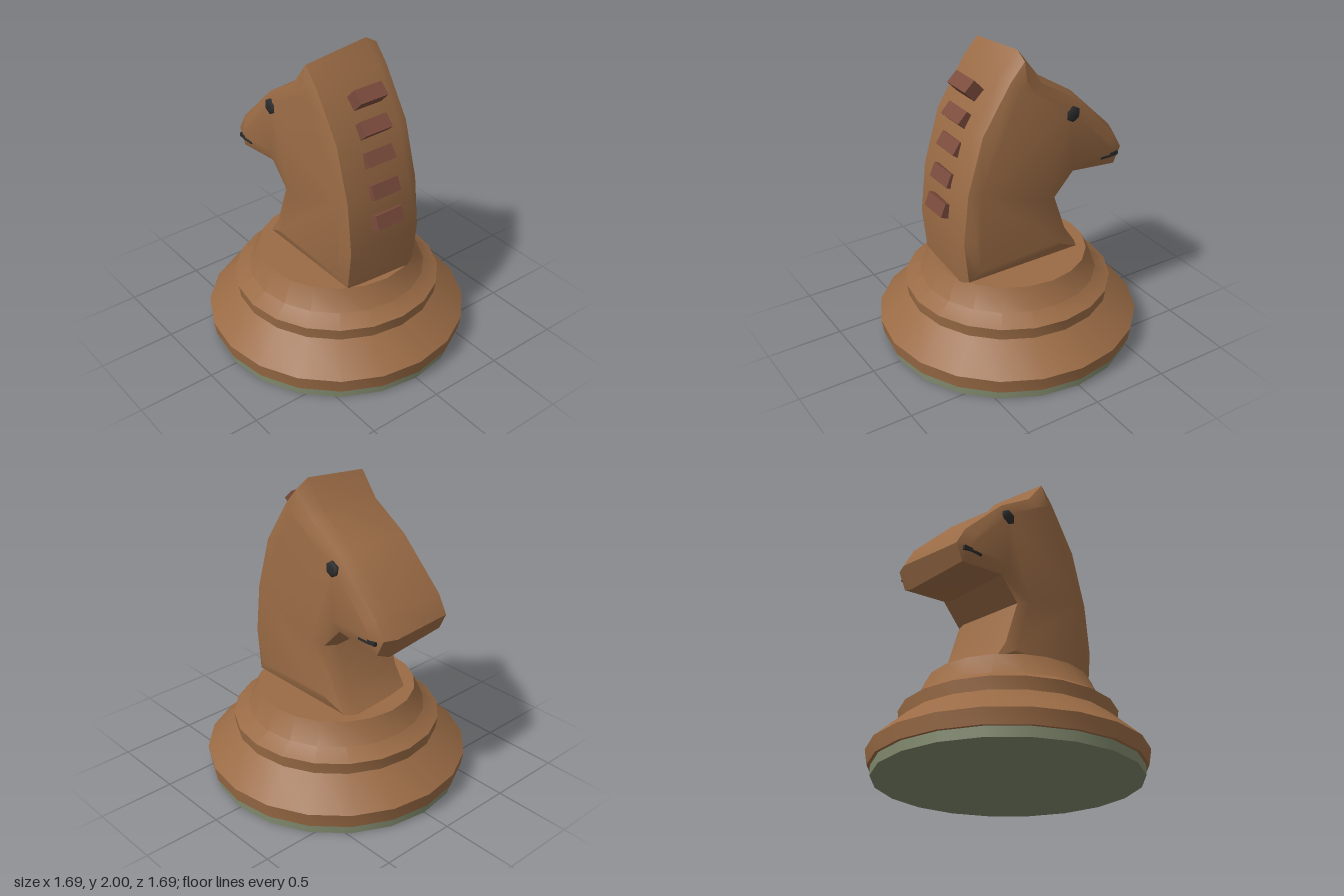
import * as THREE from 'three';
import { toCreasedNormals } from 'three/addons/utils/BufferGeometryUtils.js';

const mat = (color) => new THREE.MeshStandardMaterial({ color });
const wood = mat(0x9a6b45), felt = mat(0x7f886c), maneWood = mat(0x7a4b3c), dark = mat(0x2b2b2b);

function add(parent, name, geometry, material, x = 0, y = 0, z = 0) {
  const mesh = new THREE.Mesh(geometry, material);
  mesh.name = name;
  mesh.position.set(x, y, z);
  parent.add(mesh);
  return mesh;
}

// Horse profile, counter-clockwise, as (forward, up)
const profile = [
  [-0.472, 0.578], [0.41, 0.58], [0.302, 0.743], [0.212, 1.008], [0.324, 1.13],
  [0.647, 1.098], [0.711, 1.236], [0.637, 1.369], [0.334, 1.666], [0.09, 1.82],
  [-0.048, 2.0], [-0.17, 1.862], [-0.361, 1.565], [-0.467, 1.21], [-0.504, 0.88],
].map(([u, v]) => new THREE.Vector2(u, v));

// Moves every edge of a closed outline inward by d, with mitred corners
function inset(points, d) {
  const n = points.length;
  return points.map((p, i) => {
    const a = p.clone().sub(points[(i + n - 1) % n]).normalize();
    const b = points[(i + 1) % n].clone().sub(p).normalize();
    const na = new THREE.Vector2(-a.y, a.x), nb = new THREE.Vector2(-b.y, b.x);
    const miter = na.clone().add(nb).multiplyScalar(d / (1 + na.dot(nb)));
    return p.clone().add(miter);
  });
}

// Skins the inset outlines across the width and caps both cheeks
function horseGeometry() {
  const layers = [[-0.29, 0.1], [-0.26, 0.03], [0.18, 0], [0.26, 0.03], [0.29, 0.1]];
  const n = profile.length, positions = [], index = [];
  for (const [x, d] of layers) {
    for (const p of inset(profile, d)) positions.push(x, p.y, -p.x);
  }
  for (let i = 0; i < layers.length - 1; i++) {
    for (let j = 0; j < n; j++) {
      const k = (j + 1) % n, a = i * n + j, b = i * n + k;
      index.push(a, b, b + n, a, b + n, a + n);
    }
  }
  const last = (layers.length - 1) * n;
  for (const [a, b, c] of THREE.ShapeUtils.triangulateShape(inset(profile, 0.1), [])) {
    index.push(last + a, last + b, last + c, a, c, b);
  }
  const g = new THREE.BufferGeometry();
  g.setAttribute('position', new THREE.Float32BufferAttribute(positions, 3));
  g.setIndex(index);
  return toCreasedNormals(g, 0.55);
}

export function createModel() {
  const model = new THREE.Group();
  model.name = 'chessKnight';

  // Felt pad and turned base
  add(model, 'feltPad', new THREE.CylinderGeometry(0.81, 0.81, 0.07, 20), felt, 0, 0.035, 0);
  const turned = [[0, 0.062], [0.83, 0.062], [0.845, 0.155], [0.655, 0.325],
    [0.665, 0.402], [0.57, 0.46], [0.506, 0.6], [0, 0.6]];
  const lathe = new THREE.LatheGeometry(turned.map(([r, y]) => new THREE.Vector2(r, y)), 20);
  add(model, 'base', toCreasedNormals(lathe, 0.62), wood);

  // Neck and head in one carved piece
  add(model, 'horseHead', horseGeometry(), wood);

  // Mane blocks down the back of the neck: height, depth position, tilt
  const mane = new THREE.Group();
  mane.name = 'mane';
  model.add(mane);
  const blocks = [[1.772, 0.29, 47], [1.59, 0.338, 44], [1.411, 0.38, 35],
    [1.222, 0.432, 24], [1.036, 0.476, 22]];
  for (const [y, z, tilt] of blocks) {
    const block = add(mane, 'maneBlock', new THREE.BoxGeometry(0.2, 0.09, 0.094), maneWood, 0, y, z);
    block.rotation.x = -THREE.MathUtils.degToRad(tilt);
  }

  // Eyes and mouth slits on both cheeks
  for (const [side, s] of [['left', 1], ['right', -1]]) {
    const eyeShape = new THREE.SphereGeometry(0.054, 6, 6).rotateZ(Math.PI / 2).scale(0.37, 1, 1);
    add(model, side + 'Eye', eyeShape, dark, s * 0.285, 1.56, -0.28);
    add(model, side + 'MouthCorner', new THREE.BoxGeometry(0.03, 0.015, 0.09), dark, s * 0.279, 1.206, -0.55);
    add(model, side + 'MouthFront', new THREE.BoxGeometry(0.03, 0.026, 0.06), dark, s * 0.276, 1.212, -0.607);
  }
  return model;
}
